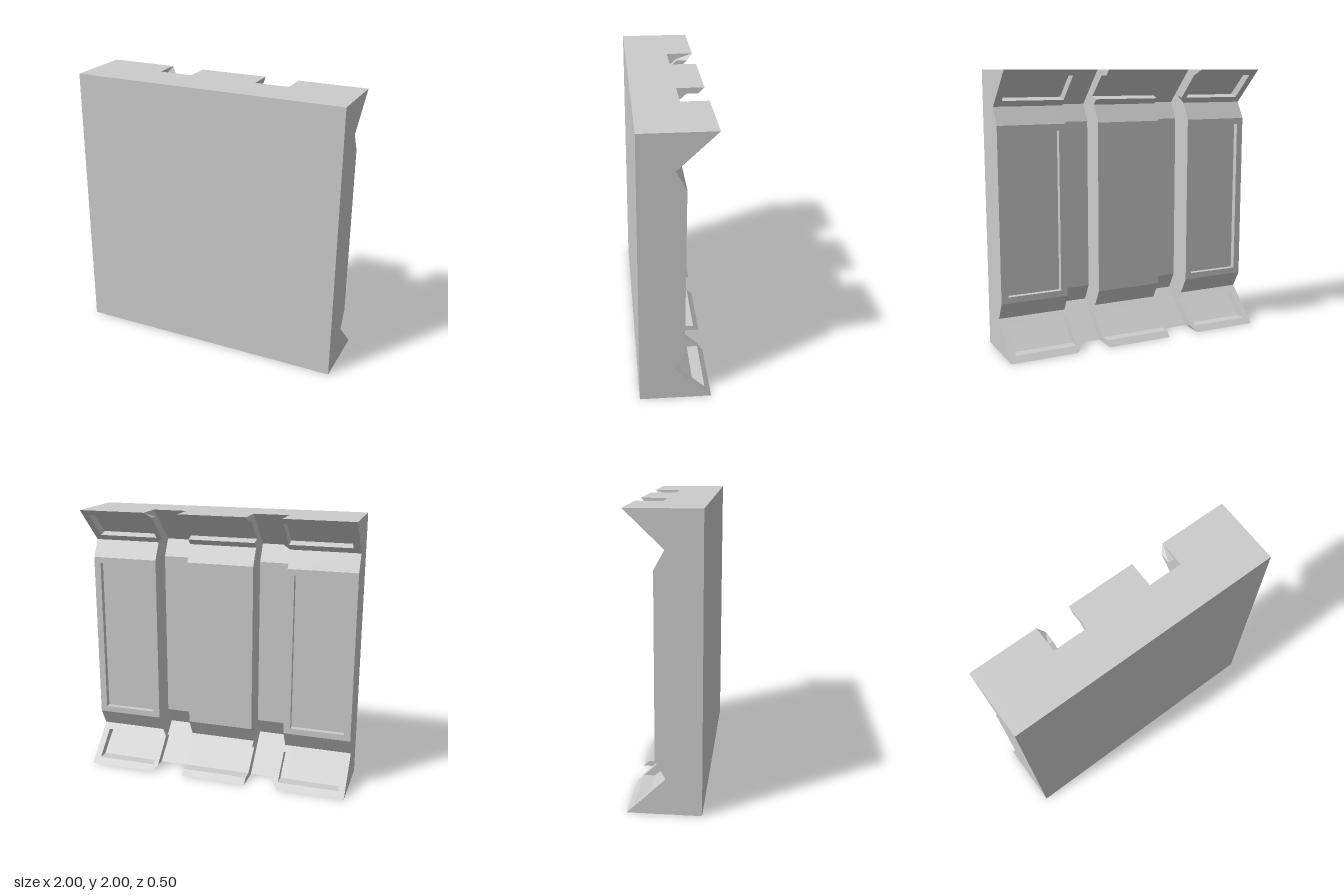
import * as THREE from 'three';

const FRONT = 0.25;
const flangeZ = (y) => -0.25 + 1.04 * y; // sloped face of the flange

// Mirror a half profile of [y, z] points about mid height and close it at the front face
const fullRing = (half) => [
  ...half,
  ...half.map(([y, z]) => [2 - y, z]).reverse(),
  [2, FRONT], [0, FRONT],
];

// Side profile of a rib; the flange and the column can each be recessed
function ribRing(flangeRecessed, columnRecessed) {
  const a = [0.04, flangeZ(0.04)], b = [0.21, flangeZ(0.21)];
  return fullRing([
    [0, -0.25], a,
    flangeRecessed ? [0.04, -0.13] : a,
    flangeRecessed ? [0.19, 0.035] : b,
    b, [0.25, 0.01], [0.375, -0.06], [0.42, -0.06],
    [0.42, columnRecessed ? -0.02 : -0.06],
  ]);
}

// Loft [x, ring] sections, listed from high x to low x, and cap both ends
function loft(name, sections, material) {
  const pos = [];
  const put = (...pts) => pts.forEach((p) => pos.push(...p));
  const rings = sections.map(([x, ring]) => ring.map(([y, z]) => [x, y, z]));
  for (let i = 0; i < rings.length - 1; i++) {
    const r = rings[i], s = rings[i + 1], n = r.length;
    for (let j = 0; j < n; j++) {
      const k = (j + 1) % n;
      put(r[j], s[j], s[k], r[j], s[k], r[k]);
    }
  }
  for (const [ring, dir] of [[rings[0], 1], [rings[rings.length - 1], -1]]) {
    // drop repeated points before triangulating the cap
    const pts = ring.filter((p, i) => {
      const q = ring[(i + 1) % ring.length];
      return Math.hypot(p[1] - q[1], p[2] - q[2]) > 1e-6;
    });
    const flat = pts.map((p) => new THREE.Vector2(p[1], p[2]));
    for (const [a, b, c] of THREE.ShapeUtils.triangulateShape(flat, [])) {
      const area = THREE.ShapeUtils.area([flat[a], flat[b], flat[c]]);
      if (area * dir > 0) put(pts[a], pts[b], pts[c]);
      else put(pts[a], pts[c], pts[b]);
    }
  }
  const geo = new THREE.BufferGeometry();
  geo.setAttribute('position', new THREE.Float32BufferAttribute(pos, 3));
  geo.computeVertexNormals();
  const mesh = new THREE.Mesh(geo, material);
  mesh.name = name;
  return mesh;
}

// Flip a section list to the other side in x
const mirrored = (sections) => sections.map(([x, r]) => [-x, r]).reverse();

export function createModel() {
  const model = new THREE.Group();
  model.name = 'wallPanel';
  const mat = new THREE.MeshStandardMaterial({ color: 0xcccccc, flatShading: true });

  // Middle rib with open-ended flange recesses
  const middle = ribRing(true, false);
  model.add(loft('middleRib', [[0.25, middle], [-0.25, middle]], mat));

  // Outer ribs with a framed column panel and framed flange panels
  const plain = ribRing(false, false);
  const outer = [
    [1, plain], [0.95, plain],
    [0.95, ribRing(true, true)], [0.55, ribRing(true, true)],
    [0.55, middle], [0.5, middle], [0.5, plain],
  ];

  // Channels between the ribs: the same profile set deeper
  const channelRing = fullRing([[0, -0.06], [0.25, 0.2], [0.375, 0.13]]);
  const channel = [[0.5, channelRing], [0.25, channelRing]];

  // Mitred lips of the outer flanges overhanging the channels
  const inner = [[0.04, flangeZ(0.04)], [0.21, flangeZ(0.21)], [0.19, 0.035], [0.04, -0.13]];
  const base = [[0, -0.25], [0.25, 0.01], [0.19, 0.035], [0.04, -0.13]];
  const flipY = (ring) => ring.map(([y, z]) => [2 - y, z]).reverse();
  const lowerLip = [[0.5, base], [0.46, inner]];
  const upperLip = [[0.5, flipY(base)], [0.46, flipY(inner)]];

  const parts = { OuterRib: outer, Channel: channel, LowerLip: lowerLip, UpperLip: upperLip };
  for (const [name, sections] of Object.entries(parts)) {
    model.add(loft('left' + name, sections, mat));
    model.add(loft('right' + name, mirrored(sections), mat));
  }
  return model;
}
